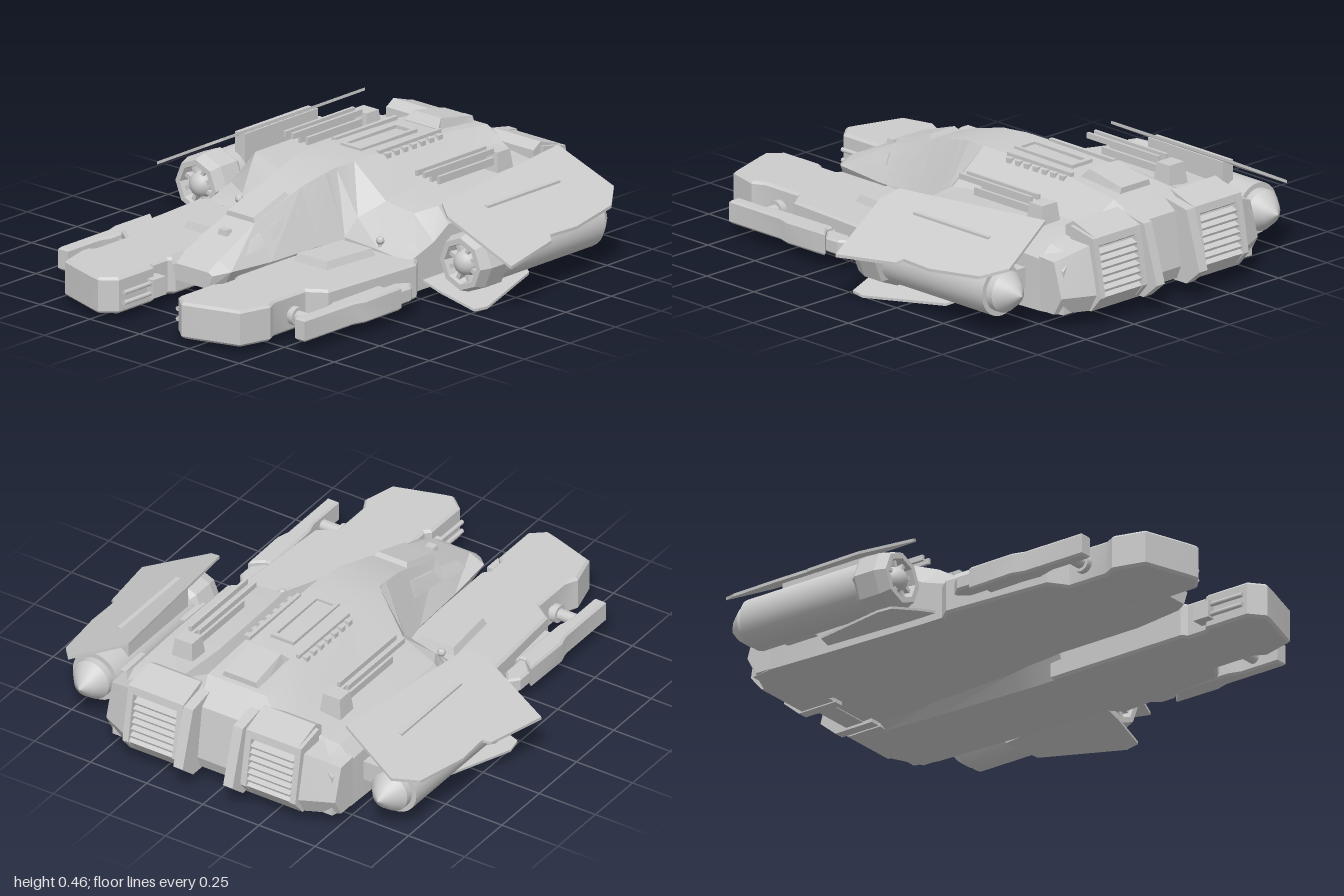
import * as THREE from 'three';
import { toCreasedNormals } from 'three/addons/utils/BufferGeometryUtils.js';

const MAT = new THREE.MeshStandardMaterial({ color: 0xcccccc });

// Closed skin over mirrored half sections [z, [x, y]...], listed from front to back
function loft(sections) {
  const rings = sections.map(([z, ...half]) => {
    const mirrored = half.filter(p => p[0] > 0).reverse().map(([x, y]) => [-x, y]);
    return [...half, ...mirrored].map(([x, y]) => new THREE.Vector3(x, y, z));
  });
  const pts = [], n = rings[0].length;
  for (let s = 0; s < rings.length - 1; s++) {
    for (let i = 0; i < n; i++) {
      const j = (i + 1) % n, a = rings[s], b = rings[s + 1];
      pts.push(a[i], a[j], b[i], a[j], b[j], b[i]);
    }
  }
  [[rings[0], 1], [rings[rings.length - 1], -1]].forEach(([r, dir]) => {
    for (const [i, j, k] of THREE.ShapeUtils.triangulateShape(r.map(p => new THREE.Vector2(p.x, p.y)), [])) {
      const area = (r[j].x - r[i].x) * (r[k].y - r[i].y) - (r[j].y - r[i].y) * (r[k].x - r[i].x);
      pts.push(r[i], ...(area * dir > 0 ? [r[j], r[k]] : [r[k], r[j]]));
    }
  });
  return new THREE.BufferGeometry().setFromPoints(pts);
}

const shapeOf = pts => new THREE.Shape(pts.map(([x, y]) => new THREE.Vector2(x, y)));

// Plan shape (x, z) raised between two heights, with an optional bevel
function slab(shape, y0, y1, bevel = 0) {
  return new THREE.ExtrudeGeometry(shape, {
    depth: y1 - y0 - 2 * bevel, bevelEnabled: bevel > 0, bevelSize: bevel,
    bevelThickness: bevel, bevelOffset: -bevel, bevelSegments: 1,
  }).rotateX(Math.PI / 2).translate(0, y1 - bevel, 0);
}

// Side outline (z, y) extended between two x positions
function sideSlab(outline, x0, x1) {
  return new THREE.ExtrudeGeometry(shapeOf(outline), { depth: x1 - x0, bevelEnabled: false })
    .rotateY(-Math.PI / 2).translate(x1, 0, 0);
}

// Box whose top is narrowed
function block(w, h, d, x, y, z, tx = 1, tz = 1) {
  const g = new THREE.BoxGeometry(w, h, d), p = g.attributes.position;
  for (let i = 0; i < p.count; i++) {
    if (p.getY(i) > 0) p.setXYZ(i, p.getX(i) * tx, p.getY(i), p.getZ(i) * tz);
  }
  return g.translate(x, y, z);
}

// Move every vertex by a rule
function bend(g, rule) {
  const p = g.attributes.position, v = new THREE.Vector3();
  for (let i = 0; i < p.count; i++) {
    rule(v.fromBufferAttribute(p, i));
    p.setXYZ(i, v.x, v.y, v.z);
  }
  return g;
}

// Reflect across x = 0, swapping two corners of each triangle
function mirror(g) {
  const m = g.clone().scale(-1, 1, 1);
  for (const a of Object.values(m.attributes)) {
    const s = a.itemSize;
    for (let i = 0; i < a.count; i += 3) {
      for (let k = 0; k < s; k++) {
        const u = (i + 1) * s + k, w = (i + 2) * s + k;
        [a.array[u], a.array[w]] = [a.array[w], a.array[u]];
      }
    }
  }
  return m;
}

export function createModel() {
  const model = new THREE.Group();
  model.name = 'spacecraft';
  const put = (name, g) => {
    const mesh = new THREE.Mesh(g, MAT);
    mesh.name = name;
    model.add(mesh);
  };
  const one = (name, g, crease = 0.5) => put(name, toCreasedNormals(g, crease));
  const pair = (name, g, crease = 0.5) => {
    const c = toCreasedNormals(g, crease);
    put(name + 'Left', c);
    put(name + 'Right', mirror(c));
  };

  // Main hull with raised spine, shoulders and a channel between two keels
  const hull = (z, w1, yt, w2, y2, w3, y3, w4, y4, yb, yc) =>
    [z, [0, yt], [w1, yt], [w2, y2], [w3, y3], [w4, y4], [w4, yb], [0.18, yb], [0.14, yc], [0, yc]];
  one('hull', loft([
    hull(0.08, 0.1, 0.42, 0.19, 0.19, 0.36, 0.18, 0.51, 0.165, 0.04, 0.12),
    hull(0.03, 0.1, 0.43, 0.21, 0.26, 0.37, 0.22, 0.51, 0.18, 0.04, 0.115),
    hull(-0.06, 0.11, 0.435, 0.27, 0.315, 0.41, 0.3, 0.51, 0.21, 0.04, 0.11),
    hull(-0.14, 0.11, 0.436, 0.26, 0.32, 0.46, 0.32, 0.51, 0.26, 0.042, 0.1),
    hull(-0.52, 0.12, 0.43, 0.25, 0.325, 0.46, 0.32, 0.51, 0.27, 0.05, 0.085),
    hull(-0.77, 0.13, 0.405, 0.26, 0.335, 0.46, 0.31, 0.51, 0.26, 0.057, 0.075),
    hull(-0.87, 0.1, 0.33, 0.28, 0.31, 0.44, 0.28, 0.49, 0.23, 0.06, 0.07),
  ]), 0.25);

  // Cockpit
  const nose = (z, wt, yt, wb, yb, wu) => [z, [0, yt], [wt, yt], [wb, yb], [wu, 0.12], [0, 0.12]];
  one('cockpit', loft([
    nose(0.71, 0.08, 0.185, 0.1, 0.175, 0.08), nose(0.66, 0.085, 0.22, 0.15, 0.19, 0.11),
    nose(0.45, 0.075, 0.31, 0.16, 0.18, 0.14), nose(0.2, 0.08, 0.393, 0.17, 0.18, 0.14),
    nose(0.05, 0.1, 0.429, 0.2, 0.18, 0.14), nose(-0.08, 0.11, 0.434, 0.22, 0.18, 0.14),
  ]), 0.2);
  one('windshield', block(0.15, 0.02, 0.2, 0, 0, 0, 0.85, 0.92).rotateX(0.325).translate(0, 0.35, 0.355));
  one('noseSensor', block(0.045, 0.022, 0.035, 0, 0.283, 0.53, 0.8, 0.8));
  const onCanopy = v => {
    const yt = 0.31 + (0.45 - v.z) * 0.35;
    v.x += 0.077 + 0.085 * (yt - v.y) / (yt - 0.182);
  };
  [[[0.41, 0.25], [0.39, 0.295], [0.24, 0.335], [0.23, 0.275]],
    [[0.57, 0.22], [0.55, 0.25], [0.45, 0.28], [0.44, 0.24]]].forEach((o, i) =>
    pair('sideWindow' + i, bend(sideSlab(o, -0.01, 0.006), onCanopy)));

  // Forward prongs with pads, knobs and inner guns
  pair('prong', slab(shapeOf([[0.15, 0.03], [0.51, 0.03], [0.55, 0.08], [0.52, 0.53], [0.45, 0.58], [0.45, 0.75],
    [0.475, 0.8], [0.44, 0.93], [0.25, 0.99], [0.21, 1], [0.15, 0.95], [0.15, 0.76], [0.17, 0.74],
    [0.17, 0.66], [0.15, 0.64]]), 0.03, 0.172, 0.01));
  pair('prongPad', bend(block(0.17, 0.03, 0.25, 0.285, 0.185, 0.24, 0.85, 0.9),
    v => { v.x -= (v.z - 0.24) * 0.08; }));
  pair('knobStem', new THREE.CylinderGeometry(0.007, 0.009, 0.05, 8).translate(0.355, 0.19, 0.065));
  pair('knob', new THREE.SphereGeometry(0.016, 12, 8).translate(0.355, 0.212, 0.065), 1);
  pair('innerGunMount', block(0.06, 0.07, 0.07, 0.145, 0.095, 0.76, 0.85));
  for (const y of [0.075, 0.115]) {
    pair('innerGunBarrel', new THREE.CylinderGeometry(0.009, 0.009, 0.16, 8).rotateX(Math.PI / 2)
      .translate(0.135, y, 0.86), 1);
  }

  // Outriggers beside the prongs
  pair('outrigger', slab(shapeOf([[0.58, 0.29], [0.63, 0.25], [0.635, 0.45], [0.62, 0.5], [0.62, 0.77],
    [0.57, 0.77], [0.57, 0.6], [0.555, 0.55], [0.55, 0.29]]), 0.05, 0.14, 0.008));
  pair('outriggerTip', slab(shapeOf([[0.55, 0.2], [0.59, 0.15], [0.625, 0.19], [0.625, 0.25], [0.58, 0.3],
    [0.55, 0.3]]), 0.065, 0.125, 0.008));
  pair('outriggerArm', block(0.1, 0.05, 0.22, 0.53, 0.095, 0.4));
  pair('outriggerAxle', new THREE.CylinderGeometry(0.023, 0.023, 0.14, 16).rotateZ(Math.PI / 2)
    .translate(0.51, 0.095, 0.66));
  pair('axleCollar', new THREE.CylinderGeometry(0.036, 0.036, 0.025, 16).rotateZ(Math.PI / 2)
    .translate(0.475, 0.095, 0.66));

  // Engine pods
  const turned = (pts, sides) => new THREE.LatheGeometry(pts.map(([r, z]) => new THREE.Vector2(r, z)), sides)
    .rotateX(Math.PI / 2).translate(0.665, 0.165, 0);
  pair('pod', turned([[0, -0.83], [0.045, -0.795], [0.08, -0.75], [0.08, -0.72], [0.1, -0.72], [0.1, -0.1],
    [0, -0.1]], 28));
  pair('podCowl', turned([[0.095, -0.2], [0.118, -0.17], [0.118, -0.08], [0.102, -0.035], [0.08, -0.035],
    [0.068, -0.095], [0, -0.095]], 8), 0.1);
  pair('podSpinner', new THREE.SphereGeometry(0.052, 20, 14).translate(0.665, 0.165, -0.075), 1);
  for (const a of [0, 1, 2, 3]) {
    pair('intakeStrut', new THREE.BoxGeometry(0.17, 0.016, 0.04).rotateZ(Math.PI / 8 + a * Math.PI / 4)
      .translate(0.665, 0.165, -0.07));
  }
  for (const z of [-0.22, -0.62]) pair('podPylon', block(0.14, 0.08, 0.14, 0.54, 0.17, z));

  // Sloping wing plates above and below the pods
  pair('upperWing', bend(slab(shapeOf([[0.485, -0.77], [0.72, -0.82], [0.79, -0.73], [0.825, -0.5], [0.82, -0.36],
    [0.845, -0.34], [0.89, -0.07], [0.61, -0.025], [0.55, -0.06]]), -0.012, 0),
  v => { v.y += 0.41 - (v.x - 0.48) * 0.512; }));
  pair('upperWingStrut', block(0.05, 0.14, 0.4, 0.61, 0.27, -0.42));
  pair('lowerWing', bend(slab(shapeOf([[0.54, -0.48], [0.66, -0.42], [0.76, -0.08], [0.75, -0.02], [0.6, 0],
    [0.5, 0]]), -0.01, 0), v => { v.y += 0.01 + (0.76 - v.x) * 0.27; }));

  // Roof hatch, rear hump, ribs and twin guns
  const frame = shapeOf([[-0.052, -0.47], [0.052, -0.47], [0.052, -0.16], [-0.052, -0.16]]);
  frame.holes.push(shapeOf([[-0.037, -0.45], [0.037, -0.45], [0.037, -0.18], [-0.037, -0.18]]));
  one('hatchFrame', slab(frame, 0.42, 0.445));
  one('roofHump', loft([
    [-0.55, [0, 0.43], [0.085, 0.43], [0.09, 0.39], [0, 0.39]],
    [-0.58, [0, 0.463], [0.07, 0.463], [0.09, 0.39], [0, 0.39]],
    [-0.75, [0, 0.43], [0.07, 0.43], [0.09, 0.38], [0, 0.38]],
  ]), 0.1);
  pair('roofRail', block(0.016, 0.03, 0.34, 0.11, 0.43, -0.36));
  for (let i = 0; i < 7; i++) pair('roofRib', block(0.03, 0.025, 0.024, 0.125, 0.42, -0.22 - i * 0.047));
  pair('gunBase', block(0.095, 0.09, 0.09, 0.33, 0.355, -0.6, 0.8, 0.75));
  for (const x of [0.312, 0.35]) {
    pair('gunBarrel', block(0.012, 0.022, 0.38, x, 0.405, -0.37));
    pair('gunLowerBarrel', block(0.012, 0.03, 0.3, x, 0.365, -0.41));
  }

  // Stern: vents with slats, fins, corner blocks and the recess between
  pair('sternVent', sideSlab([[-0.76, 0.36], [-0.8, 0.385], [-0.92, 0.345], [-0.925, 0.315], [-0.9, 0.3],
    [-0.93, 0.14], [-0.955, 0.12], [-0.91, 0.06], [-0.76, 0.06]], 0.14, 0.37));
  for (let i = 0; i < 6; i++) {
    pair('ventSlat', new THREE.BoxGeometry(0.2, 0.01, 0.035).rotateX(-0.3)
      .translate(0.255, 0.285 - i * 0.027, -0.912 - i * 0.005));
  }
  for (const x of [0.14, 0.36]) {
    pair('ventCheek', sideSlab([[-0.8, 0.37], [-0.92, 0.345], [-0.96, 0.12], [-0.91, 0.06], [-0.8, 0.06]], x, x + 0.025));
  }
  pair('sternFin', sideSlab([[-0.76, 0.38], [-0.93, 0.348], [-1, 0.12], [-0.93, 0.06], [-0.76, 0.06]], 0.09, 0.132));
  pair('sternCorner', bend(sideSlab([[-0.76, 0.32], [-0.9, 0.315], [-0.94, 0.13], [-0.9, 0.06], [-0.76, 0.06]], 0.385, 0.51),
    v => { if (v.x > 0.45 && v.z < -0.8) v.z += 0.06; if (v.x > 0.45 && v.y > 0.25) v.y -= 0.05; }));
  one('sternRecess', sideSlab([[-0.8, 0.34], [-0.87, 0.33], [-0.9, 0.12], [-0.88, 0.07], [-0.8, 0.07]], -0.09, 0.09));
  return model;
}
